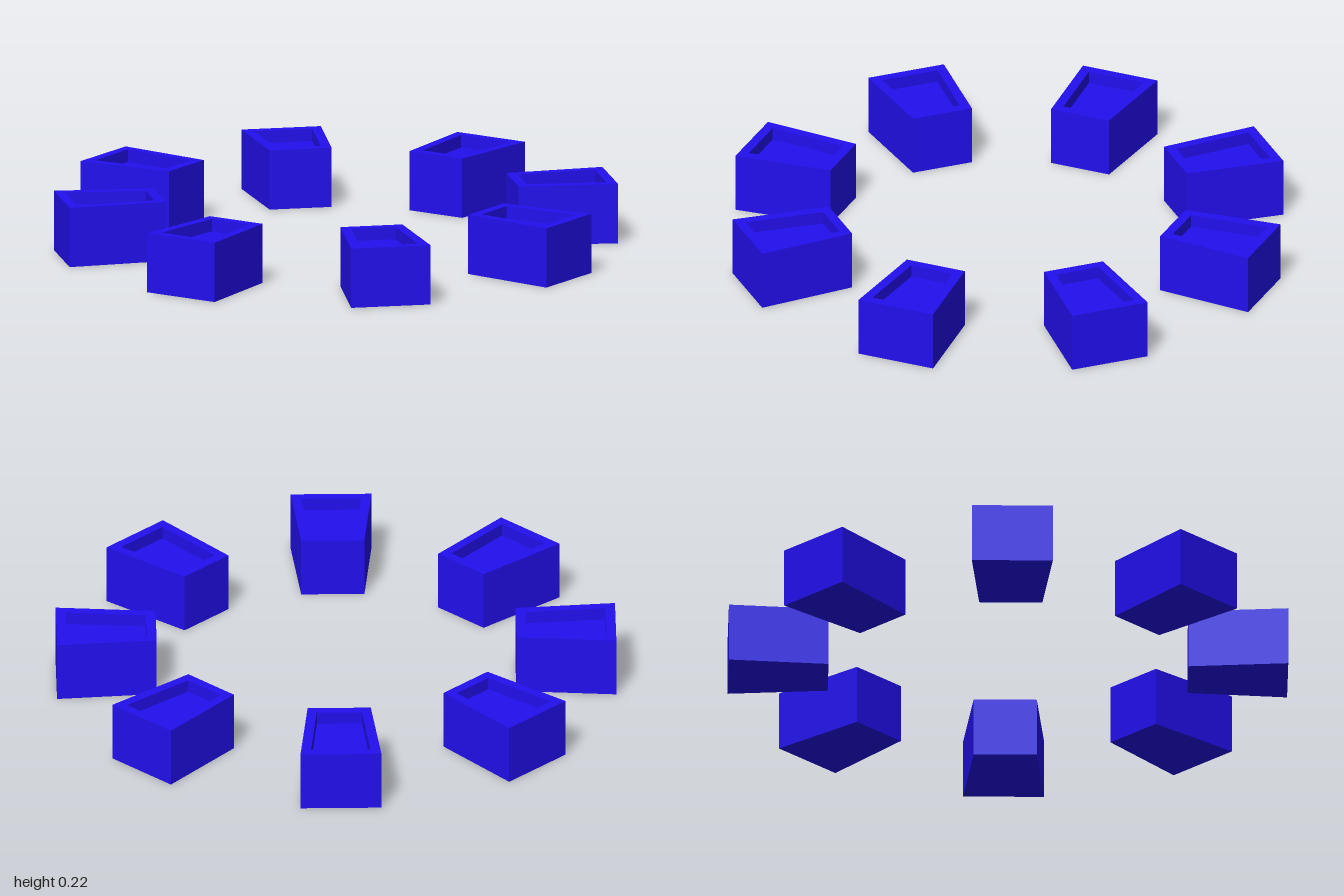
import * as THREE from 'three';

const COUNT = 8, START = THREE.MathUtils.degToRad(12.77);
const HEIGHT = 0.215, RECESS = 0.045, RIM = 0.035;
const R0 = 0.638, R1 = 0.992, HALF0 = 0.112, HALF1 = 0.1437;

// Corners of the wedge-shaped plan, pulled in by an even margin
function outline(inset) {
  const slope = (HALF1 - HALF0) / (R1 - R0);
  const half = (r) => HALF0 + (r - R0) * slope - inset * Math.hypot(1, slope);
  const a = R0 + inset, b = R1 - inset;
  return [[a, -half(a)], [b, -half(b)], [b, half(b)], [a, half(a)]]
    .map(([x, y]) => new THREE.Vector2(x, y));
}

// Extrude a plan upward from height y
function prism(shape, y, depth) {
  return new THREE.ExtrudeGeometry(shape, { depth, bevelEnabled: false })
    .rotateX(-Math.PI / 2).translate(0, y, 0);
}

export function createModel() {
  const model = new THREE.Group();
  model.name = 'ringOfTrays';
  const material = new THREE.MeshStandardMaterial({ color: 0x220fee });

  // Solid block up to the recess floor, with a raised rim around it
  const blockGeometry = prism(new THREE.Shape(outline(0)), 0, HEIGHT - RECESS);
  const rimShape = new THREE.Shape(outline(0));
  rimShape.holes.push(new THREE.Path(outline(RIM).reverse()));
  const rimGeometry = prism(rimShape, HEIGHT - RECESS, RECESS);

  // Eight trays spaced evenly around the ring
  for (let i = 0; i < COUNT; i++) {
    const tray = new THREE.Group();
    tray.name = `tray${i + 1}`;
    const block = new THREE.Mesh(blockGeometry, material);
    block.name = 'block';
    const rim = new THREE.Mesh(rimGeometry, material);
    rim.name = 'rim';
    tray.add(block, rim);
    tray.rotation.y = -(START + (i * Math.PI * 2) / COUNT);
    model.add(tray);
  }
  return model;
}
